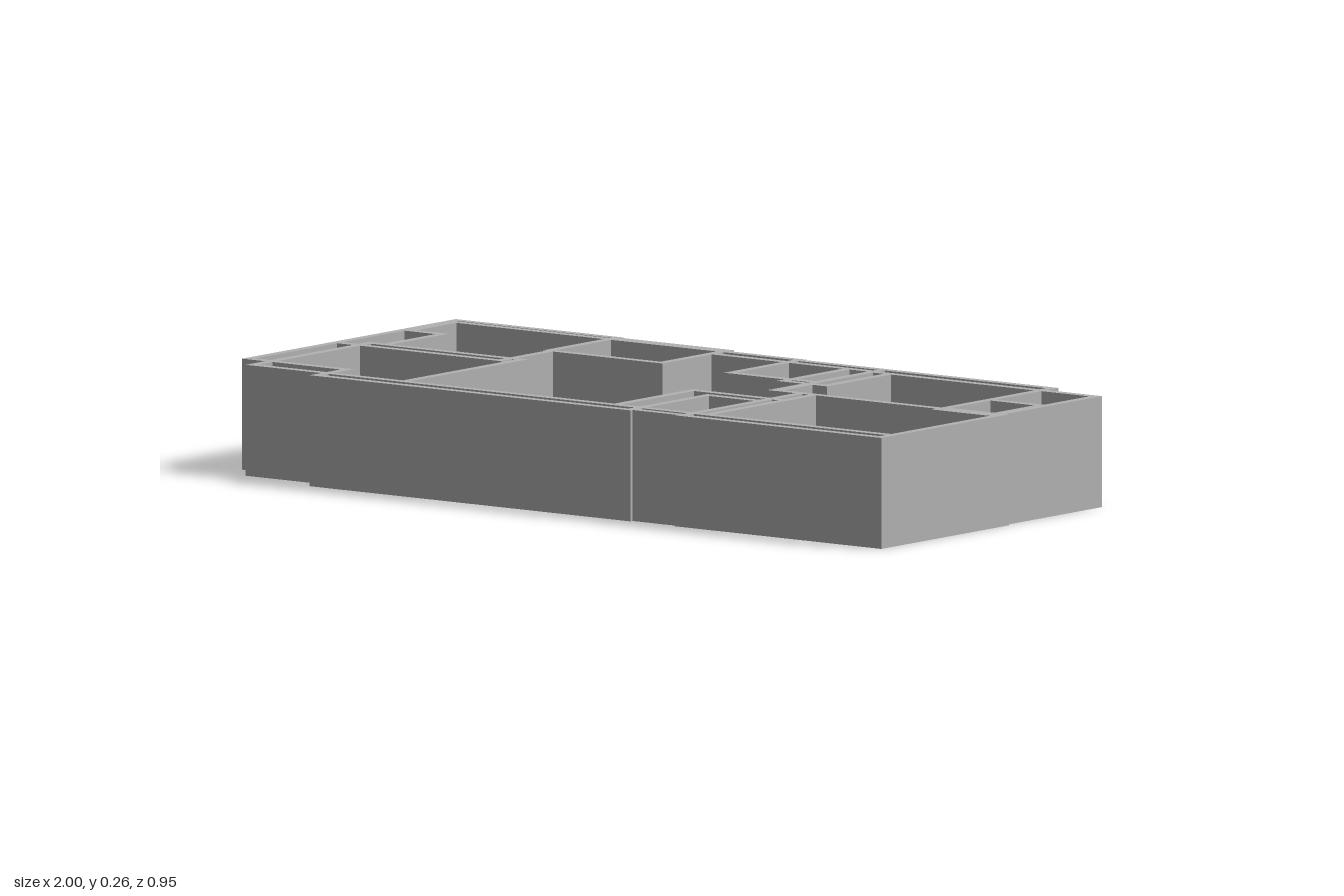
import * as THREE from 'three';

const H = 0.265; // wall height
const T = 0.022; // wall thickness

// Walls running front to back: x, then z from and to
const crossWalls = {
  outer: [
    [-0.989, -0.475, 0.353], [-0.92, -0.05, 0.428], [-0.695, 0.333, 0.473],
    [0.989, -0.02, 0.473], [0.979, -0.392, 0.0], [0.815, -0.44, 0.026],
  ],
  partition: [
    [-0.971, -0.445, -0.253], [-0.875, -0.27, -0.03],
    [-0.468, -0.05, 0.428], [-0.5, -0.206, 0.01], [-0.51, -0.475, -0.19],
    [-0.174, -0.467, -0.19], [0.056, -0.445, -0.16], [0.237, -0.397, -0.127],
    [0.313, -0.44, 0.008], [0.323, -0.14, 0.008], [0.366, -0.392, -0.127],
    [0.967, -0.195, 0.026], [0.436, -0.01, 0.428], [0.396, -0.01, 0.473],
    [0.163, 0.104, 0.428], [0.24, 0.147, 0.473],
  ],
};

// Walls running left to right: z, then x from and to
const longWalls = {
  outer: [
    [-0.464, -1, -0.499], [-0.456, -0.52, -0.163], [-0.437, -0.982, 0.067],
    [-0.429, 0.045, 0.826], [-0.384, 0.302, 0.99], [0.342, -1, -0.684],
    [0.462, -0.706, 0.251], [0.453, 0.229, 0.407], [0.462, 0.385, 1],
  ],
  partition: [
    [-0.391, -0.185, 0.324], [-0.26, -0.982, -0.864], [-0.2, -0.52, -0.163],
    [-0.168, 0.045, 0.324], [-0.137, 0.226, 0.377], [-0.187, 0.804, 0.978],
    [-0.04, -0.931, -0.457], [0.002, -1, -0.489], [-0.003, 0.312, 0.978],
    [-0.01, 0.804, 1], [0.015, 0.804, 0.978], [0.115, 0.152, 0.447],
    [0.158, 0.229, 0.407], [0.417, -0.931, 1],
  ],
};

export function createModel() {
  const model = new THREE.Group();
  model.name = 'floorPlanWalls';
  const grey = new THREE.MeshStandardMaterial({ color: 0xb2b2b2 });
  grey.name = 'wall grey';

  // One upright wall standing on the ground
  const addWall = (group, name, w, d, x, z) => {
    const wall = new THREE.Mesh(new THREE.BoxGeometry(w, H, d), grey);
    wall.name = name;
    wall.position.set(x, H / 2, z);
    group.add(wall);
  };

  for (const kind of ['outer', 'partition']) {
    const group = new THREE.Group();
    group.name = `${kind}Walls`;
    crossWalls[kind].forEach(([x, a, b], i) =>
      addWall(group, `${kind}CrossWall${i + 1}`, T, b - a, x, (a + b) / 2));
    longWalls[kind].forEach(([z, a, b], i) =>
      addWall(group, `${kind}LongWall${i + 1}`, b - a, T, (a + b) / 2, z));
    model.add(group);
  }
  return model;
}
